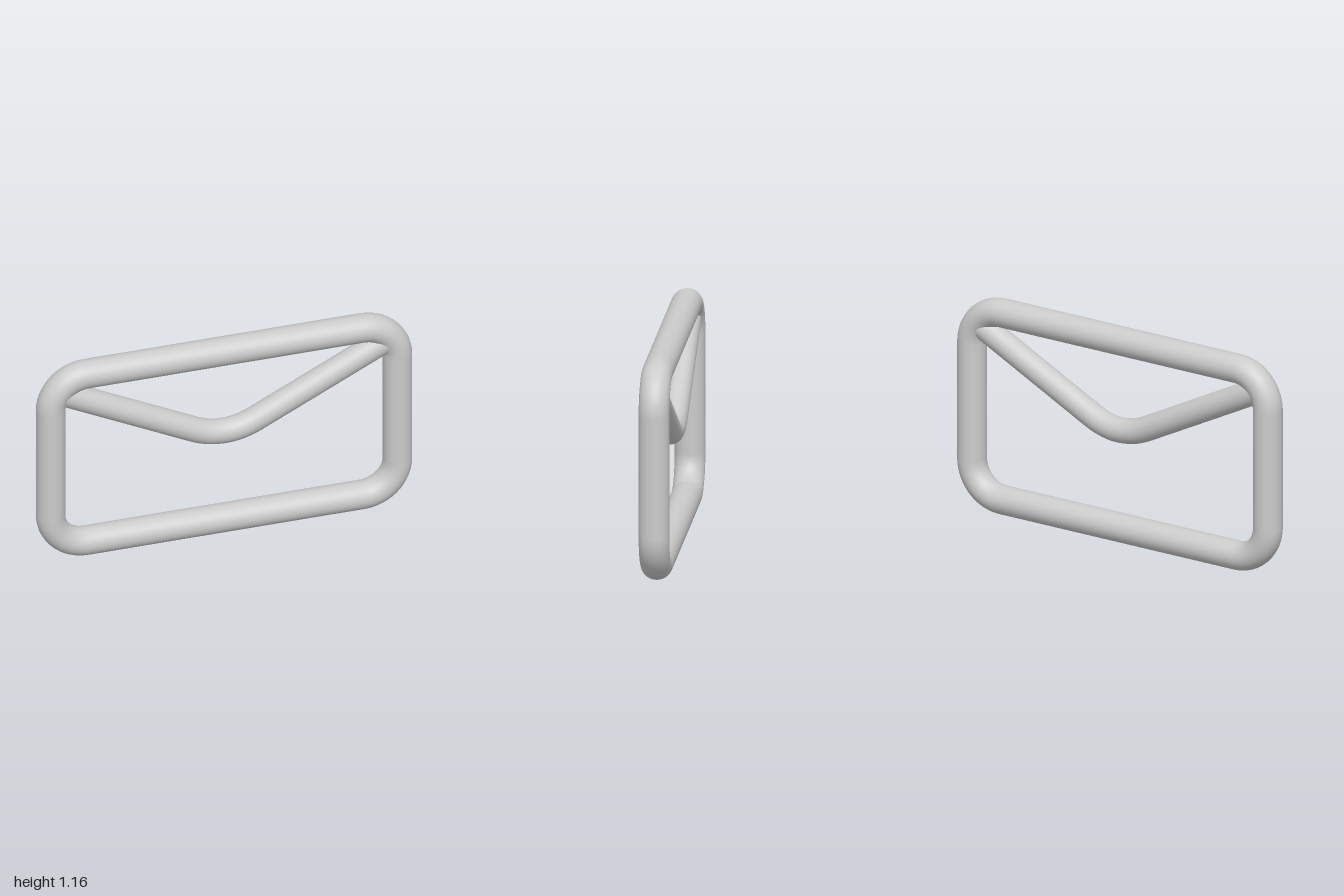
import * as THREE from 'three';

const material = new THREE.MeshStandardMaterial({ color: 0xcccccc });
const v = (x, y) => new THREE.Vector3(x, y, 0);

function addMesh(parent, name, geometry) {
  const mesh = new THREE.Mesh(geometry, material);
  mesh.name = name;
  parent.add(mesh);
  return mesh;
}

// Closed centre line of a rounded rectangle
function roundedLoop(halfWidth, halfHeight, radius) {
  const path = new THREE.CurvePath();
  const corners = [[1, 1], [-1, 1], [-1, -1], [1, -1]].map(([x, y]) => v(x * halfWidth, y * halfHeight));
  const toward = (from, to, d) => from.clone().add(to.clone().sub(from).setLength(d));
  corners.forEach((corner, i) => {
    const previous = corners[(i + 3) % 4], next = corners[(i + 1) % 4];
    const start = toward(corner, previous, radius), end = toward(corner, next, radius);
    path.add(new THREE.CubicBezierCurve3(
      start, toward(corner, previous, radius * 0.448), toward(corner, next, radius * 0.448), end));
    path.add(new THREE.LineCurve3(end, toward(next, corner, radius)));
  });
  return path;
}

export function createModel() {
  const model = new THREE.Group();
  model.name = 'envelope';

  // Outer frame, slightly deeper than it is wide
  const frame = addMesh(model, 'frame',
    new THREE.TubeGeometry(roundedLoop(0.925, 0.505, 0.19), 240, 0.075, 28, true));
  frame.position.y = 0.58;
  frame.scale.z = 1.05;

  // V-shaped flap with a soft bend at the middle
  const flap = new THREE.Group();
  flap.name = 'flap';
  model.add(flap);
  const path = new THREE.CurvePath();
  path.add(new THREE.LineCurve3(v(-0.87, 0.995), v(-0.17, 0.645)));
  path.add(new THREE.QuadraticBezierCurve3(v(-0.17, 0.645), v(0, 0.56), v(0.17, 0.645)));
  path.add(new THREE.LineCurve3(v(0.17, 0.645), v(0.87, 0.995)));
  addMesh(flap, 'flapBar', new THREE.TubeGeometry(path, 100, 0.066, 28, false));

  // Rounded ends buried in the frame corners
  for (const side of [-1, 1]) {
    addMesh(flap, side > 0 ? 'leftFlapEnd' : 'rightFlapEnd', new THREE.SphereGeometry(0.066, 24, 16))
      .position.set(side * 0.87, 0.995, 0);
  }
  return model;
}
